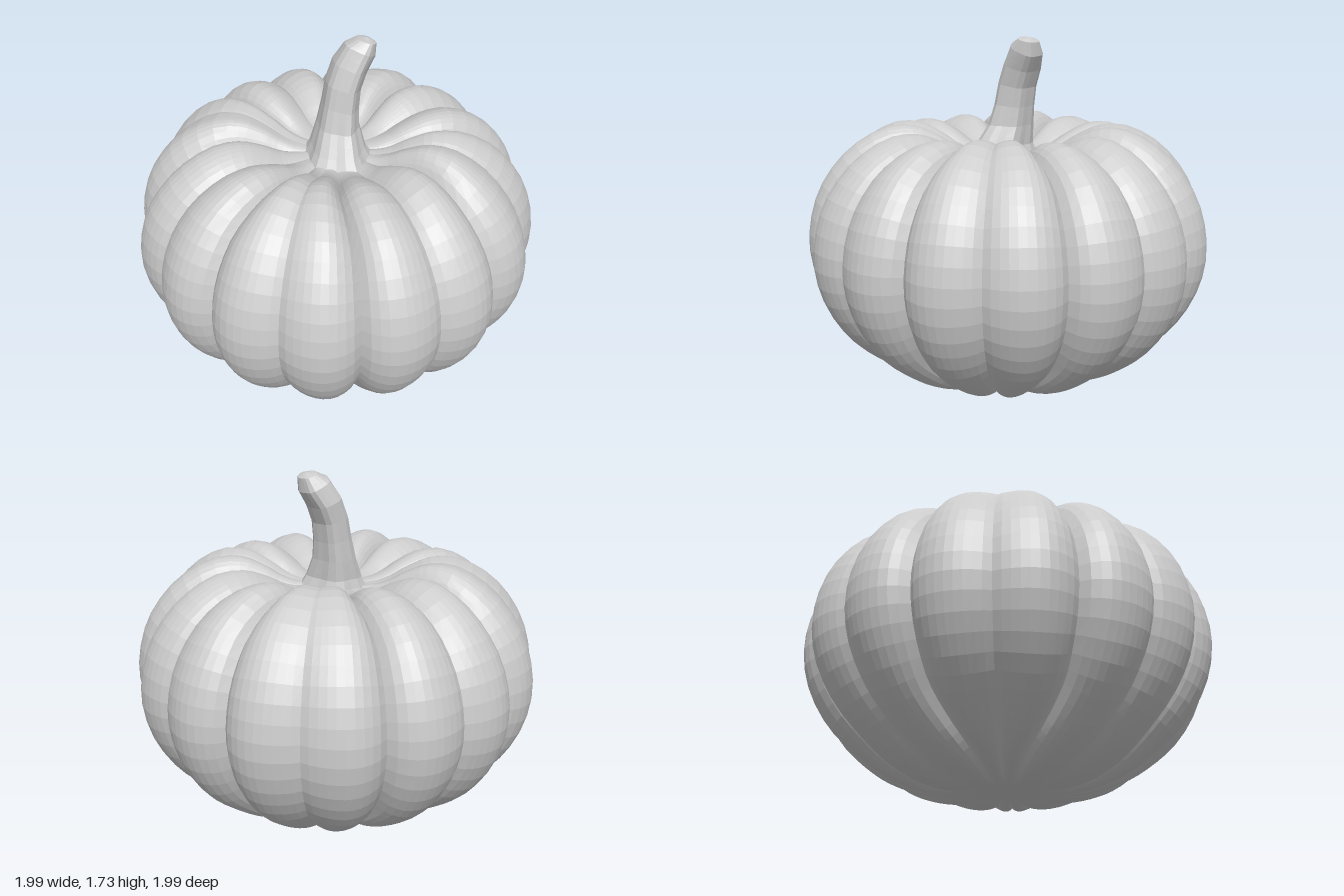
import * as THREE from 'three';

const material = new THREE.MeshStandardMaterial({ color: 0xcccccc, flatShading: true });
const { smoothstep } = THREE.MathUtils;

// Closed tube of rings running upward; point(theta, v) gives each vertex
function loft(name, sides, rings, point) {
  const positions = [], index = [];
  for (let i = 0; i <= rings; i++) {
    for (let j = 0; j < sides; j++) {
      positions.push(...point((j / sides) * Math.PI * 2, i / rings));
      if (i === rings) continue;
      const k = (j + 1) % sides;
      const a = i * sides + j, b = i * sides + k;
      index.push(a, b, b + sides, a, b + sides, a + sides);
    }
  }
  const geometry = new THREE.BufferGeometry();
  geometry.setAttribute('position', new THREE.Float32BufferAttribute(positions, 3));
  geometry.setIndex(index);
  geometry.computeVertexNormals();
  const mesh = new THREE.Mesh(geometry, material);
  mesh.name = name;
  return mesh;
}

// Body: crest profile (radius, height, groove strength) from underside to stem hollow
function createBody() {
  const profile = new THREE.CatmullRomCurve3([
    [0, 0.03, 0], [0.12, 0.02, 0], [0.27, 0.0, 0.15], [0.46, 0.035, 0.45], [0.67, 0.14, 0.8],
    [0.87, 0.32, 1], [0.975, 0.51, 1], [1.01, 0.72, 1], [0.96, 0.95, 1], [0.85, 1.12, 1],
    [0.73, 1.22, 1], [0.6, 1.277, 1], [0.48, 1.282, 0.9], [0.36, 1.24, 0.65], [0.26, 1.185, 0.35],
    [0.17, 1.16, 0.1], [0, 1.15, 0],
  ].map((p) => new THREE.Vector3(...p)), false, 'centripetal');

  return loft('pumpkinBody', 160, 44, (theta, v) => {
    const p = profile.getPointAt(v), t = profile.getTangentAt(v);
    const len = Math.hypot(t.x, t.y) || 1;
    const top = smoothstep(v, 0.5, 0.75);

    // Sixteen lobes: deep grooves between pairs, shallower ones on the axes and diagonals
    const valley = 1 - Math.pow(Math.abs(Math.sin(8 * theta)), 0.8);
    const diagonal = Math.max(0, -Math.cos(4 * theta));
    const back = Math.max(0, -Math.cos(theta));
    const shared = 0.058 * (1 - diagonal * Math.min(0.75, 0.55 * top + 0.4 * back));
    const depth = THREE.MathUtils.lerp(0.09, shared, Math.abs(Math.cos(4 * theta))) * p.z * valley;

    const r = Math.max(0, p.x - (depth * t.y) / len);
    const lift = -0.014 * Math.cos(4 * theta) * p.z * top;
    const y = Math.max(0, p.y + (depth * t.x) / len + lift);

    // Deep grooves drift towards the diagonals near both poles
    const drift = (v < 0.5 ? 0.15 : 0.07) * (1 - smoothstep(p.x, 0.35, 0.85));
    const angle = theta + drift * Math.sin(4 * theta);
    return [r * Math.sin(angle), y, r * Math.cos(angle)];
  });
}

// Stem: flared ribbed base, curving towards +x, with a blunt tip
function createStem() {
  const sections = [
    // centre x, y, z, half width x, half width z, slant
    [-0.01, 1.12, 0.04, 0.17, 0.19, 0],
    [-0.005, 1.2, 0.025, 0.125, 0.15, 0],
    [0.015, 1.3, -0.005, 0.096, 0.118, 0.05],
    [0.032, 1.4, -0.015, 0.083, 0.104, 0.15],
    [0.05, 1.5, -0.02, 0.077, 0.1, 0.25],
    [0.086, 1.59, -0.022, 0.073, 0.098, 0.4],
    [0.133, 1.67, -0.01, 0.068, 0.082, 0.5],
    [0.162, 1.716, 0.002, 0.042, 0.055, 0.3],
    [0.165, 1.73, 0.002, 0, 0, 0],
  ];
  const rows = sections.length - 1;
  return loft('stem', 20, rows * 2, (theta, v) => {
    const s = v * rows, i = Math.min(Math.floor(s), rows - 1), f = s - i;
    const [cx, y, cz, rx, rz, slant] = sections[i].map((a, k) => a + (sections[i + 1][k] - a) * f);
    const rib = 1 + 0.08 * (1 - 0.6 * v) * Math.cos(5 * theta + v);
    const dx = rx * rib * Math.sin(theta);
    return [cx + dx, y - slant * dx, cz + rz * rib * Math.cos(theta)];
  });
}

export function createModel() {
  const group = new THREE.Group();
  group.name = 'pumpkin';
  group.add(createBody(), createStem());
  return group;
}
